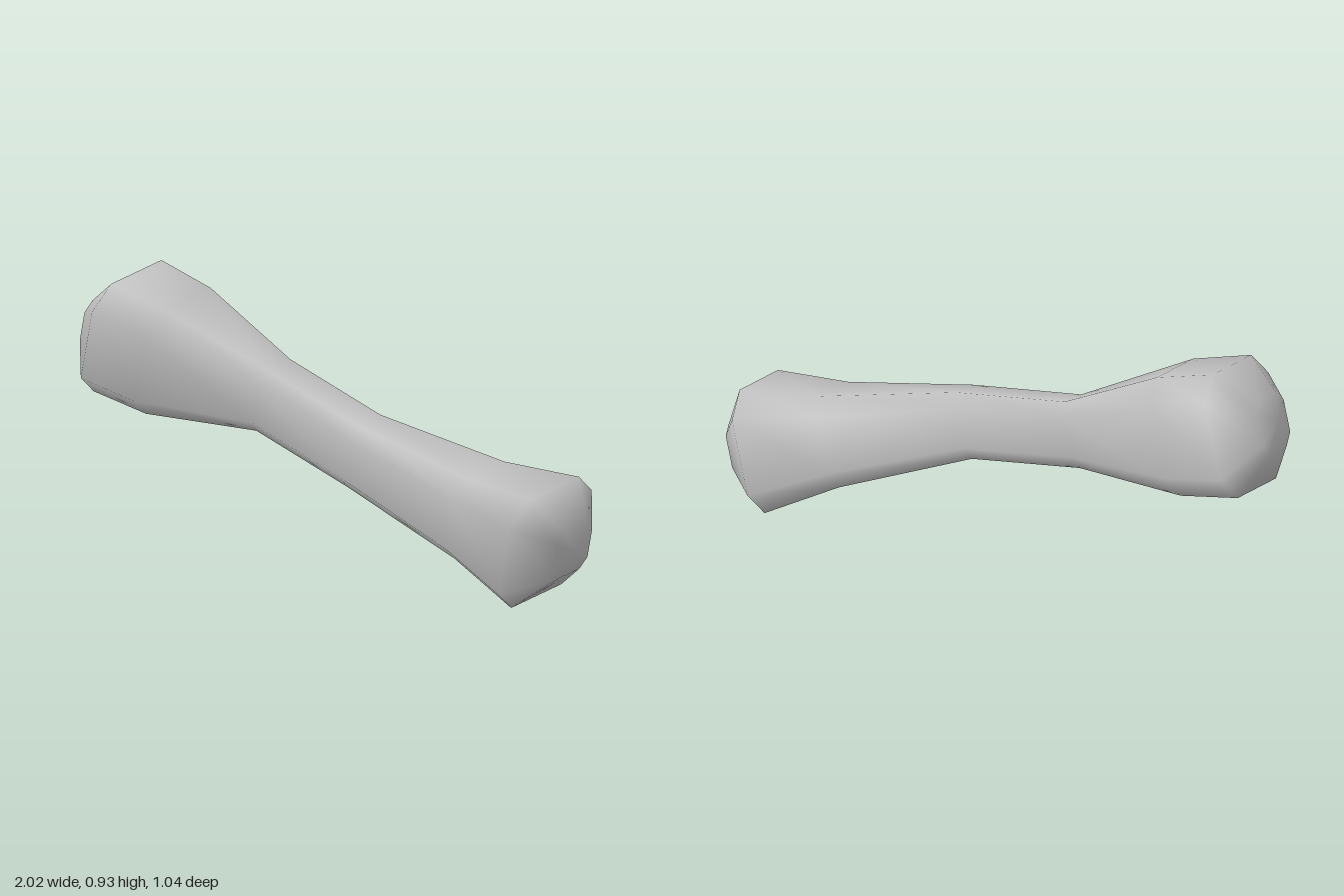
import * as THREE from 'three';

// One half of the chamfered, squarish cross-section as [z, y]; the other half is its opposite
const HALF = [[0.175, 0.185], [0.232, 0.095], [0.168, -0.155], [0.068, -0.222]];
const SECTION = [...HALF, ...HALF.map(([z, y]) => [-z, -y])];

// Rings along the bone: centre x, y, z, then scale in z and in y
const RINGS = [
  [-0.965, 0.73, -0.285, 0.42, 0.42],
  [-0.865, 0.71, -0.29, 1, 1],
  [-0.655, 0.655, -0.22, 0.95, 0.96],
  [-0.27, 0.555, -0.115, 0.43, 0.55],
  [0.14, 0.445, 0.11, 0.44, 0.55],
  [0.605, 0.30, 0.225, 0.73, 0.74],
  [0.865, 0.222, 0.285, 1, 1],
  [0.965, 0.20, 0.285, 0.42, 0.42],
];

function boneGeometry() {
  const n = SECTION.length, last = RINGS.length - 1;
  const positions = [], index = [];
  // Each ring leans so that it stays square to the sloping shaft
  for (const [cx, cy, cz, sz, sy] of RINGS) {
    for (const [z, y] of SECTION) {
      const dy = y * sy, dz = z * sz;
      positions.push(cx + 0.34 * dy - 0.32 * dz, cy + dy, cz + dz);
    }
  }
  // Skin between neighbouring rings
  for (let i = 0; i < last; i++) {
    for (let k = 0; k < n; k++) {
      const a = i * n + k, b = i * n + (k + 1) % n;
      index.push(a, b, b + n, a, b + n, a + n);
    }
  }
  // Knob ends closed by shallow fans
  const tipA = positions.length / 3, tipB = tipA + 1;
  const [ax, ay, az] = RINGS[0], [bx, by, bz] = RINGS[last];
  positions.push(ax - 0.015, ay, az, bx + 0.015, by, bz);
  for (let k = 0; k < n; k++) {
    const m = (k + 1) % n;
    index.push(tipA, m, k, tipB, last * n + k, last * n + m);
  }
  const g = new THREE.BufferGeometry();
  g.setAttribute('position', new THREE.Float32BufferAttribute(positions, 3));
  g.setIndex(index);
  g.computeVertexNormals();
  return g;
}

export function createModel() {
  const group = new THREE.Group();
  group.name = 'boneModel';
  const boneGrey = new THREE.MeshStandardMaterial({ color: 0xc0c0c0 });
  boneGrey.name = 'boneGrey';
  const bone = new THREE.Mesh(boneGeometry(), boneGrey);
  bone.name = 'bone';
  group.add(bone);
  return group;
}
